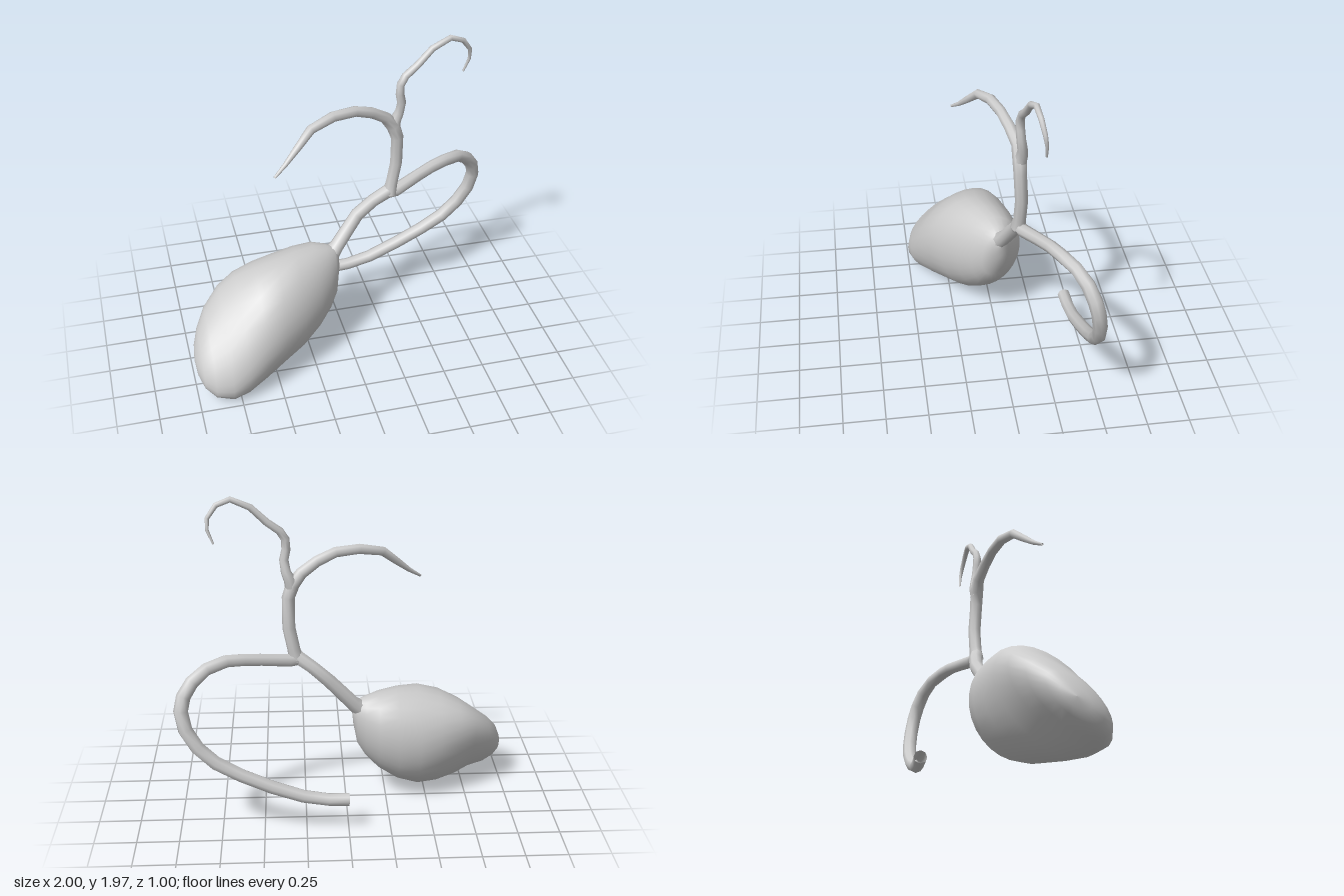
import * as THREE from 'three';

const material = new THREE.MeshStandardMaterial({ color: 0xcccccc, side: THREE.DoubleSide });

// Skin rings of equal point count into one smooth surface
function loft(name, rings) {
  const n = rings[0].length;
  const index = [];
  for (let i = 0; i < rings.length - 1; i++) {
    for (let j = 0; j < n; j++) {
      const a = i * n + j, b = i * n + (j + 1) % n;
      index.push(a, b, a + n, b, b + n, a + n);
    }
  }
  const geometry = new THREE.BufferGeometry().setFromPoints(rings.flat());
  geometry.setIndex(index);
  geometry.computeVertexNormals();
  const mesh = new THREE.Mesh(geometry, material);
  mesh.name = name;
  return mesh;
}

// Tapered tube through [x, y, z, radius] stations
function duct(name, stations, sides = 8) {
  const points = stations.map(([x, y, z]) => new THREE.Vector3(x, y, z));
  const curve = new THREE.CatmullRomCurve3(points);
  const rings = points.map((p, i) => {
    const tangent = curve.getTangent(i / (points.length - 1));
    const side = new THREE.Vector3(0, 0, 1).cross(tangent).normalize();
    const up = tangent.clone().cross(side);
    return Array.from({ length: sides }, (_, j) => {
      const a = (j / sides) * Math.PI * 2, r = stations[i][3];
      return p.clone().addScaledVector(side, r * Math.cos(a)).addScaledVector(up, r * Math.sin(a));
    });
  });
  return loft(name, rings);
}

// Pear-shaped sac: slanted ellipses along x, as [x, yMin, yMax, zMin, zMax, slant]
function sac() {
  const sections = [
    [-1.0, 0.22, 0.22, 0.28, 0.28, 0.6], [-0.99, 0.15, 0.29, 0.2, 0.36, 0.6],
    [-0.96, 0.09, 0.37, 0.13, 0.43, 0.65], [-0.9, 0.04, 0.455, 0.04, 0.48, 0.7],
    [-0.8, 0.01, 0.55, -0.04, 0.5, 0.7], [-0.7, 0.0, 0.62, -0.1, 0.485, 0.5],
    [-0.58, 0.015, 0.675, -0.15, 0.445, 0.27], [-0.45, 0.045, 0.71, -0.185, 0.385, 0.12],
    [-0.32, 0.1, 0.72, -0.195, 0.31, 0.13], [-0.2, 0.19, 0.715, -0.18, 0.22, 0.18],
    [-0.12, 0.28, 0.695, -0.13, 0.14, 0.25], [-0.07, 0.37, 0.675, -0.09, 0.08, 0.3],
    [-0.045, 0.51, 0.655, -0.075, 0.02, 0.3], [-0.035, 0.61, 0.61, -0.04, -0.04, 0.3],
  ];
  const sides = 28;
  return loft('sac', sections.map(([x, y0, y1, z0, z1, slant]) =>
    Array.from({ length: sides }, (_, j) => {
      const a = -(j / sides) * Math.PI * 2;
      return new THREE.Vector3(x,
        (y0 + y1) / 2 + (y1 - y0) / 2 * Math.sin(a),
        (z0 + z1) / 2 + (z1 - z0) / 2 * Math.cos(a + slant));
    })));
}

export function createModel() {
  const group = new THREE.Group();
  group.name = 'sacWithDucts';
  group.add(sac());

  // Neck rising from the sac to the first junction
  group.add(duct('neckDuct', [
    [-0.1, 0.61, -0.03, 0.06], [-0.04, 0.665, -0.055, 0.045], [0.1, 0.835, -0.11, 0.042],
    [0.2, 0.925, -0.105, 0.04], [0.29, 0.99, -0.09, 0.042], [0.32, 1.01, -0.09, 0.03],
  ]));

  // Upright trunk that bends over into the long side branch
  group.add(duct('trunkAndRightBranch', [
    [0.295, 0.97, -0.09, 0.045], [0.31, 1.04, -0.095, 0.038], [0.337, 1.18, -0.1, 0.038],
    [0.337, 1.36, -0.09, 0.038], [0.31, 1.44, -0.09, 0.041], [0.26, 1.505, -0.085, 0.036],
    [0.17, 1.565, -0.055, 0.034], [0.06, 1.608, -0.02, 0.032], [-0.08, 1.613, 0.02, 0.031],
    [-0.22, 1.58, 0.075, 0.028], [-0.31, 1.5, 0.125, 0.022], [-0.39, 1.43, 0.17, 0.014],
    [-0.46, 1.38, 0.21, 0.008],
  ]));

  // Thin wavy branch curling over at the top
  group.add(duct('leftBranch', [
    [0.315, 1.41, -0.09, 0.038], [0.325, 1.47, -0.1, 0.036], [0.348, 1.52, -0.1, 0.029],
    [0.358, 1.59, -0.09, 0.027], [0.345, 1.65, -0.087, 0.026], [0.348, 1.71, -0.085, 0.025],
    [0.378, 1.76, -0.09, 0.024], [0.45, 1.815, -0.1, 0.022], [0.54, 1.905, -0.11, 0.02],
    [0.65, 1.955, -0.12, 0.018], [0.73, 1.925, -0.13, 0.016], [0.78, 1.855, -0.145, 0.013],
    [0.782, 1.79, -0.155, 0.01], [0.75, 1.71, -0.16, 0.006],
  ]));

  // Wide hooked duct with an open end
  group.add(duct('hookedDuct', [
    [0.27, 0.975, -0.09, 0.035], [0.34, 0.975, -0.11, 0.04], [0.5, 1.012, -0.18, 0.037],
    [0.6, 1.032, -0.225, 0.037], [0.7, 1.042, -0.265, 0.038], [0.81, 1.022, -0.33, 0.039],
    [0.89, 0.965, -0.38, 0.041], [0.94, 0.89, -0.412, 0.042], [0.957, 0.81, -0.433, 0.042],
    [0.935, 0.7, -0.45, 0.042], [0.87, 0.59, -0.46, 0.042], [0.77, 0.492, -0.462, 0.042],
    [0.63, 0.408, -0.46, 0.04], [0.45, 0.322, -0.455, 0.04], [0.27, 0.252, -0.445, 0.039],
    [0.12, 0.222, -0.438, 0.038], [0.0, 0.218, -0.435, 0.039],
  ]));
  return group;
}
